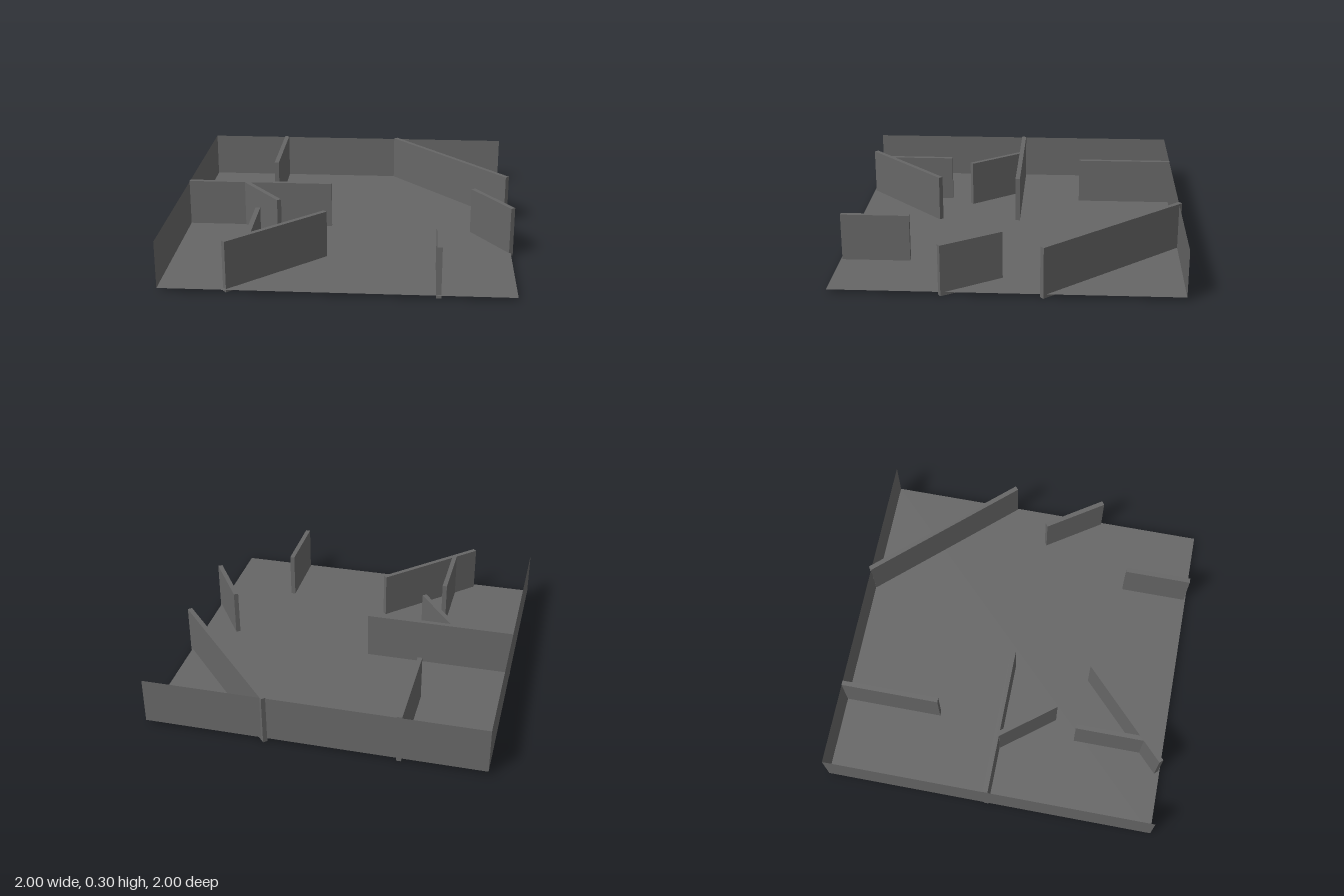
import * as THREE from 'three';

export function createModel() {
  const model = new THREE.Group();
  model.name = 'floorPlan';
  const grey = new THREE.MeshStandardMaterial({ color: 0x666666, side: THREE.DoubleSide });
  grey.name = 'grey';

  const add = (name, geometry, x, y, z, parent = model) => {
    const mesh = new THREE.Mesh(geometry, grey);
    mesh.name = name;
    mesh.position.set(x, y, z);
    parent.add(mesh);
    return mesh;
  };

  // Thin floor and the two outer walls that enclose the back and the right
  const floorY = 0.02, wallTop = 0.295, size = 1.98;
  const wallHeight = wallTop - floorY, wallY = (wallTop + floorY) / 2;
  add('floor', new THREE.PlaneGeometry(size, size).rotateX(-Math.PI / 2), -0.01, floorY, 0.01);
  add('backWall', new THREE.PlaneGeometry(size, wallHeight), -0.01, wallY, -0.98);
  add('rightWall', new THREE.PlaneGeometry(size, wallHeight).rotateY(Math.PI / 2), -1, wallY, 0.01);

  // Interior partitions: centre line from (x1, z1) to (x2, z2)
  const height = 0.3, thickness = 0.028;
  const partitions = new THREE.Group();
  partitions.name = 'partitions';
  model.add(partitions);
  const partition = (name, x1, z1, x2, z2) => {
    const length = Math.hypot(x2 - x1, z2 - z1);
    const mesh = add(name, new THREE.BoxGeometry(length, height, thickness),
      (x1 + x2) / 2, height / 2, (z1 + z2) / 2, partitions);
    mesh.rotation.y = -Math.atan2(z2 - z1, x2 - x1);
  };
  partition('backPartition', -0.503, -0.98, -0.503, -0.39);
  partition('middlePartition', -1, -0.002, -0.11, -0.002);
  partition('middleBranch', -0.64, 0.005, -0.4, 0.314);
  partition('frontBranch', -0.507, 0.452, -0.507, 0.86);
  partition('frontDiagonal', -0.625, 0.98, -0.11, 0.484);
  partition('frontPartition', 0.55, 0.59, 0.55, 0.99);
  partition('leftDiagonal', 0.763, 0.044, 0.982, 0.372);
  partition('backCornerDiagonal', 0.261, -0.988, 0.985, -0.19);

  return model;
}
